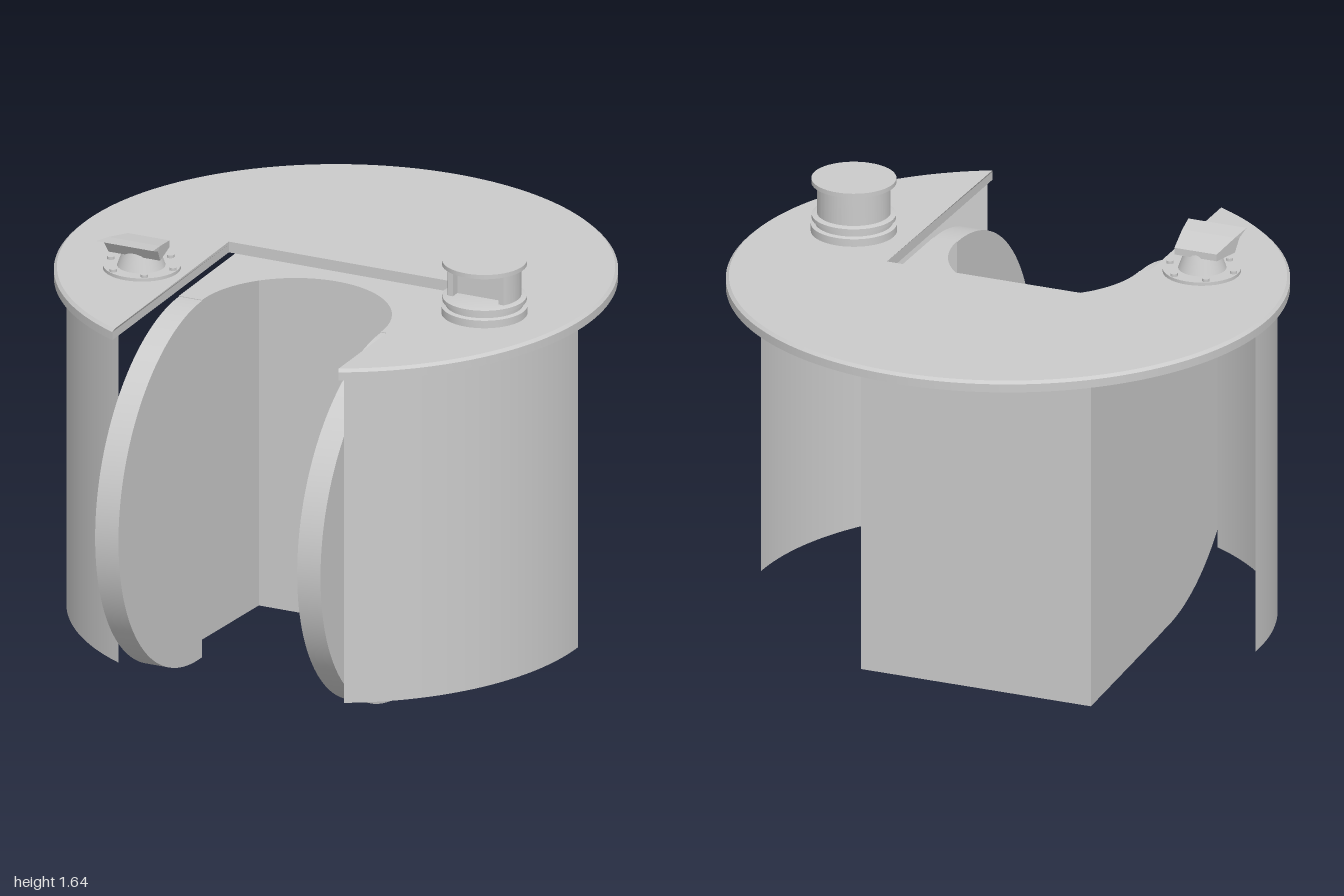
import * as THREE from 'three';
import { toCreasedNormals } from 'three/addons/utils/BufferGeometryUtils.js';

const grey = new THREE.MeshStandardMaterial({ color: 0xcccccc });
const sheet = new THREE.MeshStandardMaterial({ color: 0xcccccc, side: THREE.DoubleSide });

const polygon = (points) => new THREE.Shape(points.map(([x, y]) => new THREE.Vector2(x, y)));
const extrude = (shape, depth, steps = 1) =>
  new THREE.ExtrudeGeometry(shape, { depth, steps, bevelEnabled: false, curveSegments: 48 });

export function createModel() {
  const model = new THREE.Group();
  const add = (name, geometry, material = grey, parent = model) => {
    const mesh = new THREE.Mesh(geometry, material);
    mesh.name = name;
    parent.add(mesh);
    return mesh;
  };

  // Round deck with a rectangular notch at the front; plan drawn as (x, -z)
  const deckR = 0.98, deckZ = -0.018, notchX = 0.437;
  const a = Math.acos(notchX / deckR);
  const deck = new THREE.Shape();
  deck.moveTo(notchX, -deckR * Math.sin(a));
  deck.absarc(0, 0, deckR, -a, Math.PI + a, false);
  deck.lineTo(-notchX, 0.048);
  deck.lineTo(notchX, 0.048);
  const deckGeo = new THREE.ExtrudeGeometry(deck, {
    depth: 0.04, steps: 4, bevelEnabled: false, curveSegments: 128,
  });
  // Chamfer the upper rim
  const p = deckGeo.attributes.position;
  for (let i = 0; i < p.count; i++) {
    const r = Math.hypot(p.getX(i), p.getY(i));
    if (p.getZ(i) > 0.039 && r > deckR - 0.003)
      p.setXY(i, p.getX(i) * 0.989, p.getY(i) * 0.989);
  }
  deckGeo.rotateX(-Math.PI / 2).translate(0, 1.4, deckZ);
  deckGeo.computeVertexNormals();
  add('deck', toCreasedNormals(deckGeo, 0.4));

  // Curved side skirts, thin sheets
  const skirtR = 0.935, skirtStart = Math.asin(0.435 / skirtR);
  for (const side of [1, -1]) {
    const start = side > 0 ? skirtStart : -Math.PI / 2;
    const skirt = new THREE.CylinderGeometry(
      skirtR, skirtR, 1.22, 32, 1, true, start, Math.PI / 2 - skirtStart);
    add(side > 0 ? 'leftSkirt' : 'rightSkirt', skirt.translate(0, 0.79, -0.015), sheet);
  }

  // Half-disc arms and thin housing sides; profiles drawn as (z, y)
  const outerX = 0.435, innerX = 0.345, armZ = 0.335, topY = 1.38;
  const arm = new THREE.Shape();
  arm.moveTo(armZ, 0.045);
  arm.absarc(armZ, 0.7125, 0.665, -Math.PI / 2, Math.PI / 2, false);
  arm.lineTo(armZ, topY);
  const wall = polygon([[-0.3, 0], [armZ, 0.045], [armZ, topY], [-0.3, topY]]);
  for (const side of [1, -1]) {
    const label = side > 0 ? 'left' : 'right';
    const armGeo = extrude(arm, outerX - innerX).rotateY(-Math.PI / 2)
      .translate(side > 0 ? outerX : -innerX, 0, 0);
    add(label + 'Arm', toCreasedNormals(armGeo, 0.4));
    add(label + 'HousingWall', new THREE.ShapeGeometry(wall).rotateY(-Math.PI / 2)
      .translate(side * outerX, 0, 0), sheet);
  }
  add('housingBack', new THREE.PlaneGeometry(2 * outerX, topY)
    .rotateY(Math.PI).translate(0, topY / 2, -0.3), sheet);

  // Housing top plate with an arched cut-out; plan drawn as (x, -z)
  const plate = new THREE.Shape();
  plate.moveTo(-outerX, 0.3);
  plate.lineTo(-outerX, -armZ);
  plate.lineTo(-innerX, -armZ);
  plate.absellipse(0, -armZ, innerX, 0.363, Math.PI, 0, true);
  plate.lineTo(outerX, -armZ);
  plate.lineTo(outerX, 0.3);
  add('housingTop', new THREE.ShapeGeometry(plate, 48)
    .rotateX(-Math.PI / 2).translate(0, topY, 0), sheet);

  // Round scanner: stepped base, body with a window recess, cap
  const scanner = new THREE.Group();
  scanner.name = 'scanner';
  scanner.position.set(0.655, 1.44, 0.15);
  model.add(scanner);
  const baseProfile = [[0, 0], [0.15, 0], [0.15, 0.028], [0.135, 0.032], [0.135, 0.046],
    [0.147, 0.05], [0.147, 0.064], [0.125, 0.07], [0, 0.07]];
  const base = new THREE.LatheGeometry(baseProfile.map(([x, y]) => new THREE.Vector2(x, y)), 48);
  add('scannerBase', toCreasedNormals(base, 0.4), grey, scanner);
  const bodyR = 0.128, cutZ = 0.07, b = Math.asin(cutZ / bodyR);
  const body = new THREE.Shape();
  body.moveTo(bodyR * Math.cos(b), -cutZ);
  body.absarc(0, 0, bodyR, -b, Math.PI + b, false);
  for (const [x, y] of [[-0.088, -cutZ], [-0.088, -0.035], [0.088, -0.035], [0.088, -cutZ]])
    body.lineTo(x, y);
  const bodyGeo = extrude(body, 0.115).rotateX(-Math.PI / 2).translate(0, 0.068, 0);
  add('scannerBody', toCreasedNormals(bodyGeo, 0.4), grey, scanner);
  add('scannerCap', new THREE.CylinderGeometry(0.148, 0.148, 0.016, 48)
    .translate(0, 0.19, 0), grey, scanner);

  // Small camera: bolted flange, neck and hooded head
  const camera = new THREE.Group();
  camera.name = 'sensor';
  camera.position.set(-0.602, 1.44, 0.285);
  model.add(camera);
  add('sensorFlange', new THREE.CylinderGeometry(0.136, 0.136, 0.012, 40)
    .translate(0, 0.006, 0), grey, camera);
  for (let i = 0; i < 6; i++) {
    const t = i * Math.PI / 3;
    add('flangeBolt', new THREE.CylinderGeometry(0.013, 0.013, 0.012, 12)
      .translate(0.12 * Math.cos(t), 0.016, 0.12 * Math.sin(t)), grey, camera);
  }
  add('sensorNeck', new THREE.CylinderGeometry(0.06, 0.085, 0.07, 32)
    .translate(0, 0.045, 0.005), grey, camera);
  const headGeo = extrude(polygon([[-0.055, 0.07], [0.06, 0.063], [0.088, 0.108],
    [0.138, 0.128], [0.06, 0.118], [-0.055, 0.095]]), 0.2)
    .translate(0, 0, -0.1).rotateY(-Math.PI / 2);
  // The head widens towards the front
  const h = headGeo.attributes.position;
  for (let i = 0; i < h.count; i++) {
    const widen = 0.8 + (h.getZ(i) + 0.055) * 1.7;
    h.setX(i, h.getX(i) * Math.min(widen, 1.1));
  }
  headGeo.computeVertexNormals();
  add('sensorHead', headGeo, grey, camera);

  return model;
}
